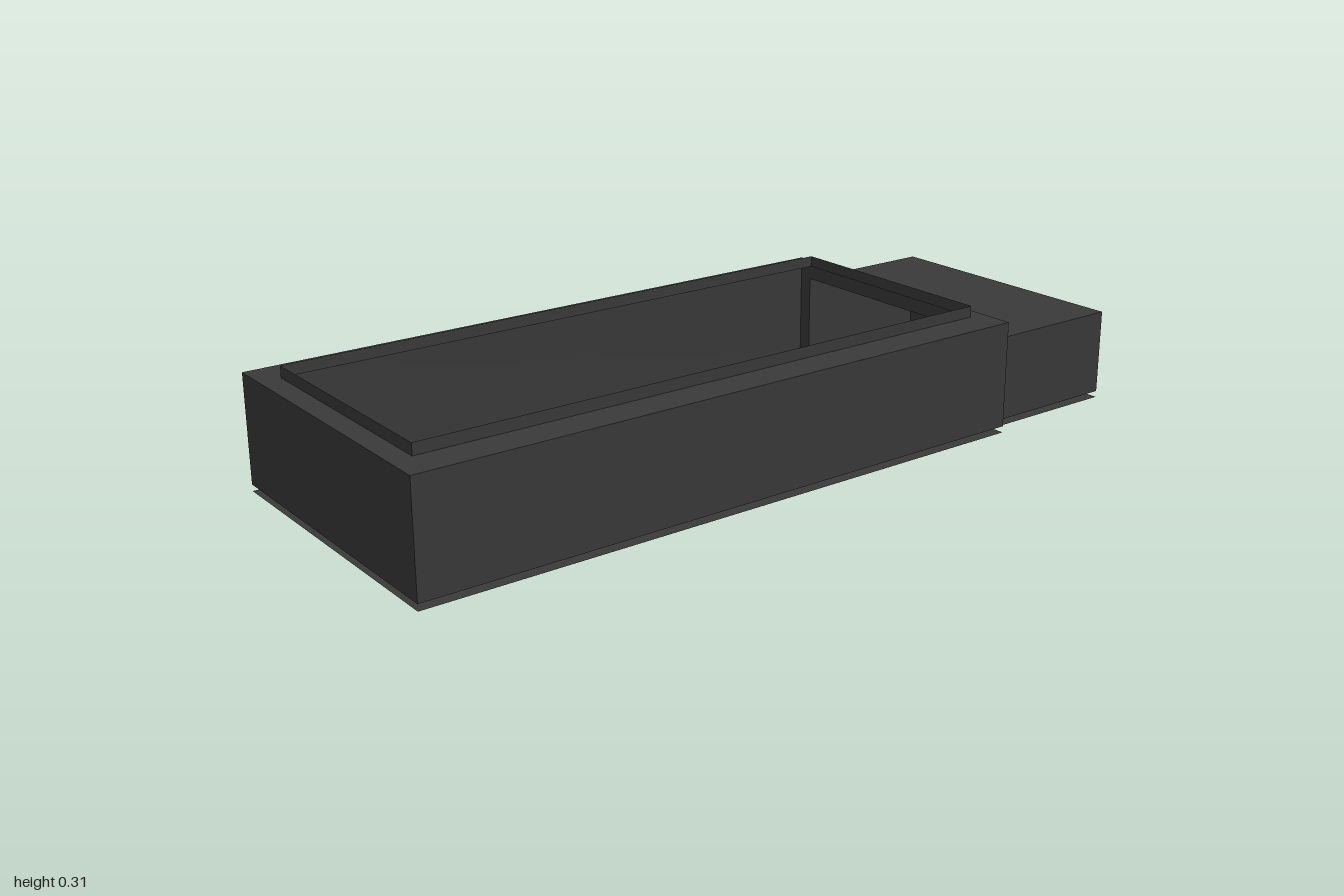
import * as THREE from 'three';

const BOTTOM = 0.016, DECK = 0.282, LIP = 0.31, TAIL = 0.23;
const BX = 0.383, TX = 0.347, LX = 0.296;            // half widths: body, tail, lip
const FRONT = 1, STEP = -0.615, BACK = -1;           // z stations
const LIP_FRONT = 0.948, LIP_BACK = -0.574;

// Thin upright walls following [x, z] points, facing outward
function walls(points, y0, y1) {
  const pos = [];
  for (let i = 0; i < points.length - 1; i++) {
    const [ax, az] = points[i], [bx, bz] = points[i + 1];
    pos.push(ax, y0, az, bx, y0, bz, bx, y1, bz, ax, y0, az, bx, y1, bz, ax, y1, az);
  }
  const g = new THREE.BufferGeometry();
  g.setAttribute('position', new THREE.Float32BufferAttribute(pos, 3));
  g.computeVertexNormals();
  return g;
}

// Thin level sheet with an optional opening
function sheet(points, y, hole) {
  const flat = (list) => list.map(([x, z]) => new THREE.Vector2(x, -z));
  const shape = new THREE.Shape(flat(points));
  if (hole) shape.holes.push(new THREE.Path(flat(hole)));
  return new THREE.ShapeGeometry(shape).rotateX(-Math.PI / 2).translate(0, y, 0);
}

const rect = (hx, z0, z1) => [[-hx, z0], [hx, z0], [hx, z1], [-hx, z1]];

export function createModel() {
  const group = new THREE.Group();
  const charcoal = new THREE.MeshStandardMaterial({ color: 0x3a3a3a, side: THREE.DoubleSide });
  charcoal.name = 'charcoal';
  const add = (name, geometry) => {
    const mesh = new THREE.Mesh(geometry, charcoal);
    mesh.name = name;
    group.add(mesh);
  };

  const body = rect(BX, FRONT, STEP);
  const tail = rect(TX, STEP, BACK);
  const opening = rect(LX, LIP_FRONT, LIP_BACK);

  // Hollow main body, open into the lower tail
  add('bodyWalls', walls([[-TX, STEP], [-BX, STEP], [-BX, FRONT], [BX, FRONT], [BX, STEP], [TX, STEP]], BOTTOM, DECK));
  add('bodyBackHeader', walls([[TX, STEP], [-TX, STEP]], TAIL, DECK));
  add('bodyDeck', sheet(body, DECK, opening));

  // Raised lip around the opening
  add('openingLip', walls([...opening, opening[0]], DECK, LIP));

  // Lower tail section
  add('tailWalls', walls([[TX, STEP], [TX, BACK], [-TX, BACK], [-TX, STEP]], BOTTOM, TAIL));
  add('tailRoof', sheet(tail, TAIL));

  // Floor sheet, set just below the walls
  add('floor', sheet([
    [-BX, FRONT], [BX, FRONT], [BX, STEP], [TX, STEP],
    [TX, BACK], [-TX, BACK], [-TX, STEP], [-BX, STEP],
  ], 0));

  return group;
}
